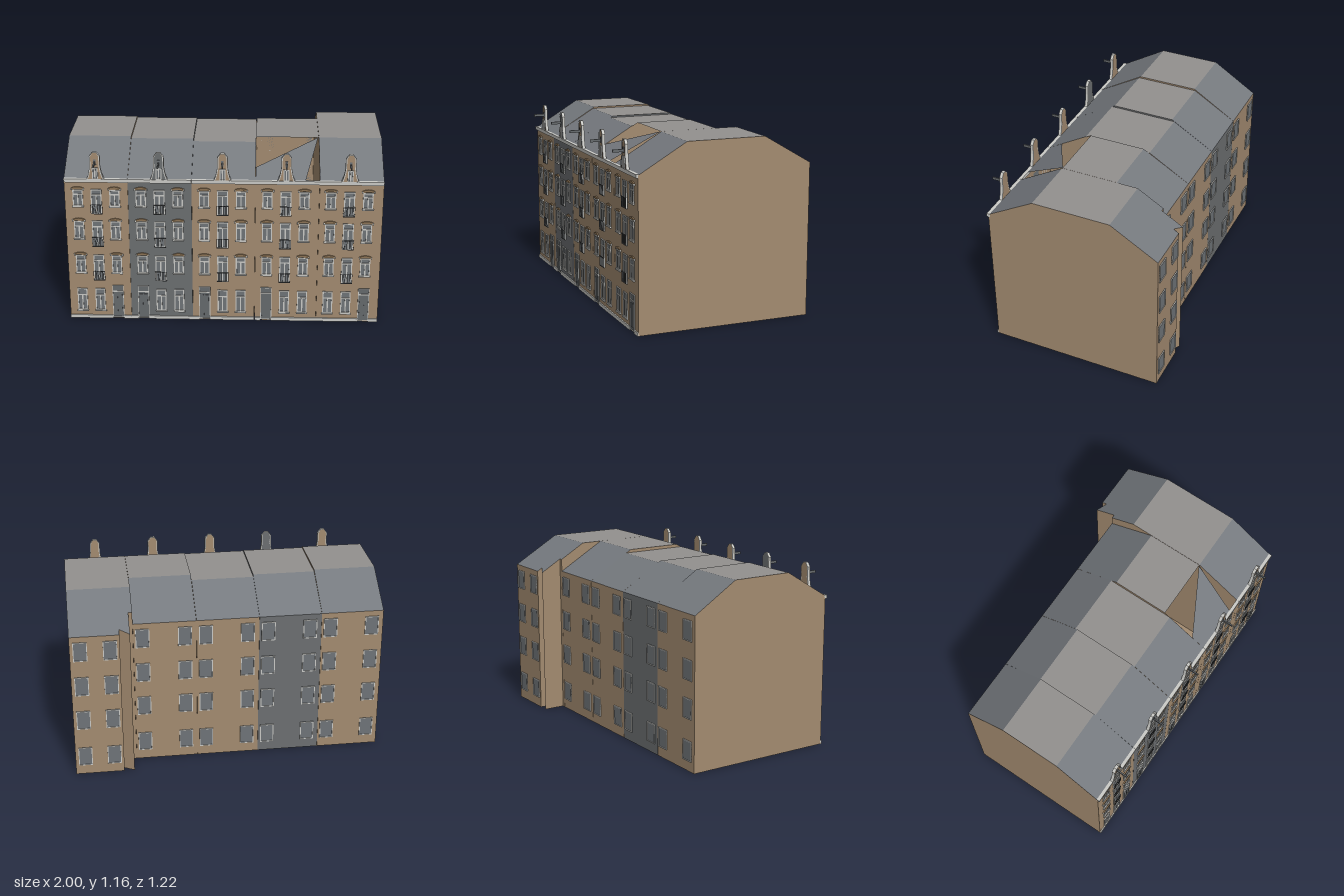
import * as THREE from 'three';
import { mergeGeometries } from 'three/addons/utils/BufferGeometryUtils.js';

const mat = (name, color, side = THREE.FrontSide) => {
  const m = new THREE.MeshStandardMaterial({ color, side });
  m.name = name;
  return m;
};
const M = {
  brick: mat('tan brick', 0xa38b70, THREE.DoubleSide),
  grey: mat('grey render', 0x6c6f71, THREE.DoubleSide),
  slate: mat('slate slope', 0x767a7f, THREE.DoubleSide),
  flat: mat('flat roofing', 0x93918f, THREE.DoubleSide),
  white: mat('white trim', 0xcbcbc7),
  glass: mat('window glass', 0x6f7478),
  door: mat('door paint', 0x666a6d),
  iron: mat('dark iron', 0x47494b),
  lintel: mat('brick arch', 0x8d7456),
};
const FRONT = 0.525, EAVE = 0.975, BACK = -0.465;

function mesh(name, geo, material, parent) {
  const m = new THREE.Mesh(geo, material);
  m.name = name;
  parent.add(m);
  return m;
}

// box from its extents in x, y and z
function box(x0, x1, y0, y1, z0, z1) {
  return new THREE.BoxGeometry(x1 - x0, y1 - y0, z1 - z0)
    .translate((x0 + x1) / 2, (y0 + y1) / 2, (z0 + z1) / 2);
}

// convex flat polygons as one faceted surface
function surface(polys) {
  const p = [];
  for (const q of polys)
    for (let i = 1; i < q.length - 1; i++) p.push(...q[0], ...q[i], ...q[i + 1]);
  const g = new THREE.BufferGeometry();
  g.setAttribute('position', new THREE.Float32BufferAttribute(p, 3));
  g.computeVertexNormals();
  return g;
}

// framed opening standing on y0, centred on x, facing +z from plane z
function opening(name, x, y0, w, h, z, parent, { transom = 0, mullion = false, pane = M.glass, bar = 0.007, sill = false } = {}) {
  const g = new THREE.Group();
  g.name = name;
  g.position.set(x, y0, z);
  parent.add(g);
  const a = w / 2, d = 0.007;
  mesh('pane', box(-a, a, 0, h, 0, 0.003), pane, g);
  const bars = [box(-a, -a + bar, 0, h, 0, d), box(a - bar, a, 0, h, 0, d),
    box(-a, a, h - bar, h, 0, d), box(-a, a, 0, bar, 0, d)];
  if (transom) bars.push(box(-a, a, h * transom - 0.004, h * transom + 0.004, 0, d));
  if (mullion) bars.push(box(-0.004, 0.004, 0, h * (transom || 1), 0, d));
  if (sill) bars.push(box(-a - 0.005, a + 0.005, -0.008, 0, 0, 0.011));
  mesh('frame', mergeGeometries(bars), M.white, g);
  return g;
}

// shallow brick arch with light end stones
function arch(x, y, w, parent) {
  const a = w / 2 + 0.006;
  const s = new THREE.Shape();
  s.moveTo(-a, 0);
  s.quadraticCurveTo(0, 0.012, a, 0);
  s.lineTo(a, 0.012);
  s.quadraticCurveTo(0, 0.03, -a, 0.012);
  const geo = new THREE.ExtrudeGeometry(s, { depth: 0.008, bevelEnabled: false, curveSegments: 6 });
  mesh('windowArch', geo.translate(x, y, FRONT), M.lintel, parent);
  const ends = [-1, 1].map(k => box(x + k * a - 0.004, x + k * a + 0.004, y - 0.002, y + 0.01, FRONT, FRONT + 0.01));
  mesh('archStones', mergeGeometries(ends), M.white, parent);
}

// thin iron balustrade before a tall window
function railing(x, y, parent) {
  const z = FRONT + 0.009, b = [];
  for (const yy of [0, 0.062]) b.push(box(x - 0.037, x + 0.037, y + yy, y + yy + 0.004, z, z + 0.004));
  for (let i = 0; i <= 8; i++) {
    const c = x - 0.036 + i * 0.009;
    b.push(box(c - 0.001, c + 0.001, y, y + 0.064, z, z + 0.003));
  }
  mesh('railing', mergeGeometries(b), M.iron, parent);
}

// neck gable with scrolled trim, hatch and hoisting beam
function neckGable(x, wall, parent) {
  const g = new THREE.Group();
  g.name = 'neckGable';
  g.position.set(x, EAVE, 0.517);
  parent.add(g);
  const outline = grow => {
    const s = new THREE.Shape(), n = 0.027 + grow;
    s.moveTo(-0.05 - grow, 0);
    s.quadraticCurveTo(-0.035 - grow, 0.03, -n, 0.09);
    s.lineTo(-n, 0.155);
    s.lineTo(-0.012, 0.18 + grow * 0.5);
    s.lineTo(0.012, 0.18 + grow * 0.5);
    s.lineTo(n, 0.155);
    s.lineTo(n, 0.09);
    s.quadraticCurveTo(0.035 + grow, 0.03, 0.05 + grow, 0);
    return s;
  };
  const solid = (s, depth) => new THREE.ExtrudeGeometry(s, { depth, bevelEnabled: false, curveSegments: 5 });
  mesh('gableWall', solid(outline(0), 0.016), wall, g);
  const trim = outline(0.006);
  trim.holes.push(outline(-0.002));
  mesh('gableTrim', solid(trim, 0.02), M.white, g);
  opening('gableWindow', 0, 0.006, 0.036, 0.075, 0.016, g, { mullion: true, bar: 0.006 });
  mesh('hatch', box(-0.008, 0.008, 0.098, 0.135, 0.016, 0.019), M.glass, g);
  mesh('hoistBeam', box(-0.004, 0.004, 0.105, 0.122, 0.01, 0.088), M.door, g);
}

// hollow walls and roof; ridge runs from z = rb to z = rf at height top
function shell(x0, x1, h, parent) {
  const { top, rf, rb, wall, deep, broken } = h, back = deep ? -0.605 : BACK;
  const slopeY = z => EAVE + (top - EAVE) * (z - back) / (rb - back);
  const foot = deep
    ? [[x0, BACK], [0.625, BACK], [0.625, -0.605], [0.69, -0.57], [0.69, -0.605], [x1, -0.605]]
    : [[x0, BACK], [x1, BACK]];
  const walls = [[[x0, 0, FRONT], [x1, 0, FRONT], [x1, EAVE, FRONT], [x0, EAVE, FRONT]]];
  for (let i = 0; i + 1 < foot.length; i++) {
    const [a, za] = foot[i], [b, zb] = foot[i + 1];
    walls.push([[b, 0, zb], [a, 0, za], [a, slopeY(za), za], [b, slopeY(zb), zb]]);
  }
  const side = (x, z) => [[x, 0, z], [x, 0, FRONT], [x, EAVE, FRONT], [x, top, rf], [x, top, rb], [x, slopeY(z), z]];
  walls.push(side(x0, foot[0][1]), side(x1, back).reverse());
  // ground slab and rear slope follow the strips of the footprint
  const slopes = [];
  for (let i = 0; i + 1 < foot.length; i++) {
    const [a, za] = foot[i], [b, zb] = foot[i + 1];
    if (a === b) continue;
    walls.push([[a, 0, za], [b, 0, zb], [b, 0, FRONT], [a, 0, FRONT]]);
    slopes.push([[b, slopeY(zb), zb], [a, slopeY(za), za], [a, top, rb], [b, top, rb]]);
  }
  mesh('walls', surface(walls), wall, parent);
  if (broken) {
    const yl = EAVE + (top - EAVE) * (FRONT - 0.43) / (FRONT - rf);
    slopes.push([[x0, EAVE, FRONT], [0.51, EAVE, FRONT], [x1 - 0.005, top, rf], [x0, yl, 0.43]]);
  } else slopes.push([[x0, EAVE, FRONT], [x1, EAVE, FRONT], [x1, top, rf], [x0, top, rf]]);
  mesh('roofSlopes', surface(slopes), M.slate, parent);
  mesh('roofTop', surface([[[x0, top, rf], [x1, top, rf], [x1, top, rb], [x0, top, rb]]]), M.flat, parent);
}

function house(h, i) {
  const g = new THREE.Group();
  g.name = 'house' + (i + 1);
  const x0 = -1 + i * 0.4 + 0.0005, x1 = x0 + 0.399, c = -0.8 + i * 0.397;
  shell(x0, x1, h, g);
  mesh('cornice', box(x0, x1, 0.957, 0.98, 0.515, 0.537), M.white, g);
  // ground floor: one door and two windows
  for (const k of [-1, 0, 1]) {
    const x = c + k * 0.116;
    if (k === h.door) {
      opening('frontDoor', x, 0.008, 0.072, 0.23, FRONT, g, { transom: 0.82, pane: M.door, bar: 0.004 });
      mesh('doorLeaves', mergeGeometries([-1, 1].map(s =>
        box(x + s * 0.015 - 0.011, x + s * 0.015 + 0.011, 0.03, 0.18, FRONT, FRONT + 0.006))), M.door, g);
    } else opening('groundWindow', x, 0.06, 0.064, 0.155, FRONT, g, { transom: 0.7, mullion: true, sill: true });
  }
  // plinth leaves a gap at the door
  const dx = c + h.door * 0.116;
  mesh('plinth', mergeGeometries([box(x0, dx - 0.036, 0, 0.022, 0.52, 0.533),
    box(dx + 0.036, x1, 0, 0.022, 0.52, 0.533)]), M.white, g);
  // upper floors
  for (const y of [0.33, 0.568, 0.795]) {
    const ht = y > 0.7 ? 0.11 : 0.122;
    for (const k of [-1, 1]) {
      const x = c + k * 0.116;
      opening('sashWindow', x, y, 0.064, ht, FRONT, g, { transom: 0.72, mullion: true, sill: true });
      arch(x, y + ht, 0.064, g);
    }
    const yb = y - 0.055;
    opening('balconyWindow', c, yb, 0.068, ht + 0.058, FRONT, g, { transom: 0.78, mullion: true });
    railing(c, yb + 0.002, g);
  }
  neckGable(c, h.wall, g);
  // rear windows, turned to face backwards
  const rear = new THREE.Group();
  rear.name = 'rearWindows';
  rear.rotation.y = Math.PI;
  g.add(rear);
  const xs = h.deep ? [0.75, 0.935] : [x0 + 0.068 + 0.002, x0 + 0.338].map(v => v + 0.003);
  for (const x of xs)
    for (const y of [0.065, 0.33, 0.57, 0.81])
      opening('rearWindow', -x, y, 0.088, 0.128, h.deep ? 0.605 : -BACK, rear, { bar: 0.005 });
  return g;
}

export function createModel() {
  const model = new THREE.Group();
  model.name = 'terraceRow';
  [
    { wall: M.brick, top: 1.155, rf: 0.225, rb: -0.175, door: 1 },
    { wall: M.grey, top: 1.145, rf: 0.235, rb: -0.18, door: -1 },
    { wall: M.brick, top: 1.135, rf: 0.253, rb: -0.195, door: -1 },
    { wall: M.brick, top: 1.155, rf: 0.215, rb: -0.155, door: -1, broken: true },
    { wall: M.brick, top: 1.155, rf: 0.215, rb: -0.295, door: 1, deep: true },
  ].forEach((h, i) => model.add(house(h, i)));
  return model;
}
